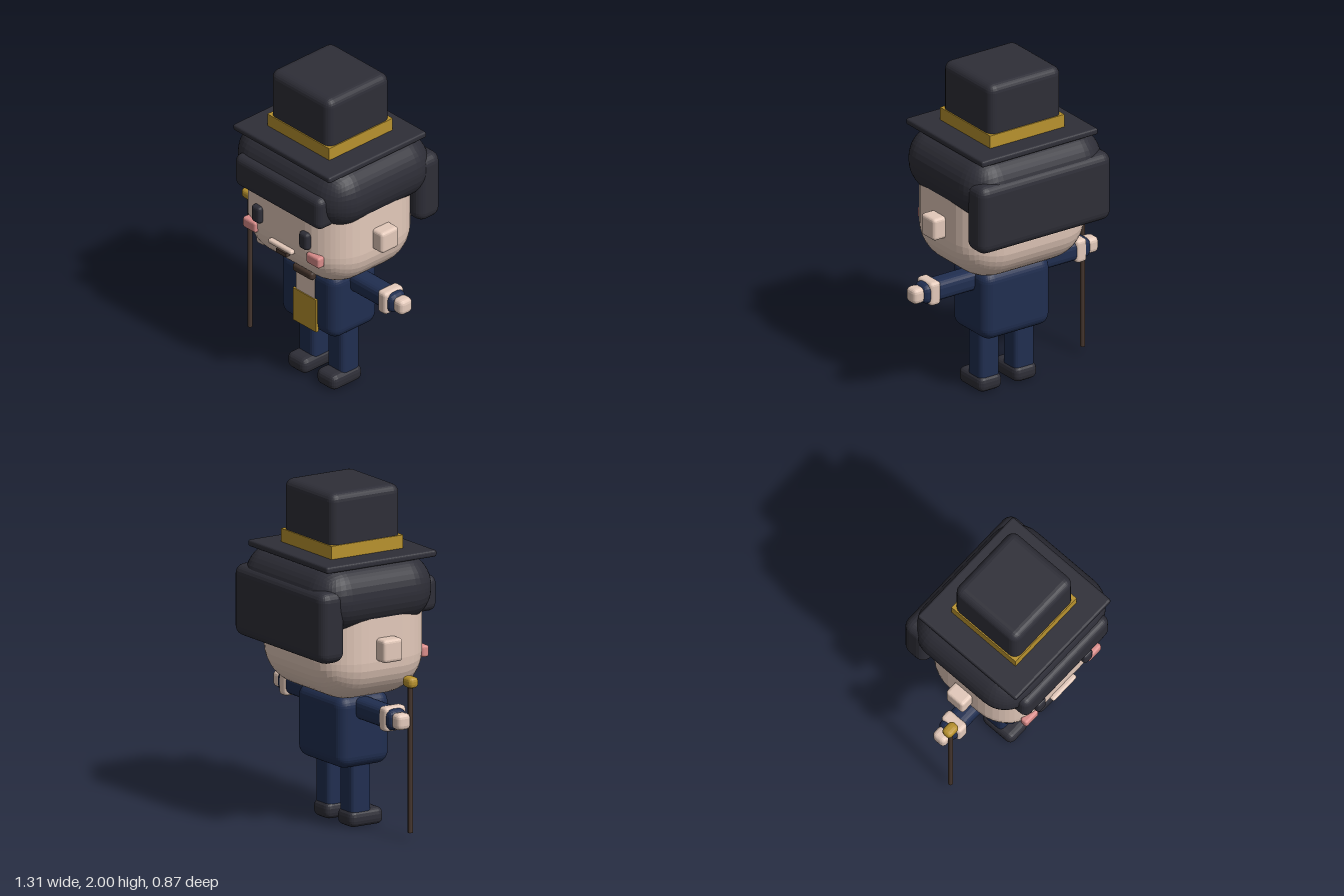
import * as THREE from 'three';
import { RoundedBoxGeometry } from 'three/addons/geometries/RoundedBoxGeometry.js';

export function createModel() {
  const model = new THREE.Group();
  model.name = 'topHatFigure';

  const mat = (name, color) => {
    const m = new THREE.MeshStandardMaterial({ color });
    m.name = name;
    return m;
  };
  const skin = mat('skin', 0xe3c9ba);
  const dark = mat('charcoal', 0x2e2e37);
  const navy = mat('navy', 0x202e50);
  const gold = mat('gold', 0xb8922e);
  const brown = mat('brown', 0x46362e);
  const pink = mat('blush', 0xd98c8a);

  // Box given by its ranges [min, max] on each axis; r rounds the edges with faceted bevels
  function block(name, material, x, y, z, r = 0, segments = 2) {
    const size = [x, y, z].map(([a, b]) => b - a);
    const geo = r > 0
      ? new RoundedBoxGeometry(...size, segments, r)
      : new THREE.BoxGeometry(...size);
    if (r > 0) geo.computeVertexNormals();
    const mesh = new THREE.Mesh(geo, material);
    mesh.name = name;
    mesh.position.set((x[0] + x[1]) / 2, (y[0] + y[1]) / 2, (z[0] + z[1]) / 2);
    model.add(mesh);
    return mesh;
  }

  // The same block on both sides of the body
  function pair(name, material, x, y, z, r, segments) {
    block('left' + name, material, x, y, z, r, segments);
    block('right' + name, material, [-x[1], -x[0]], y, z, r, segments);
  }

  // Head and face
  block('head', skin, [-0.44, 0.44], [0.78, 1.56], [-0.345, 0.385], 0.25, 5);
  pair('Ear', skin, [0.4, 0.52], [1.035, 1.17], [-0.045, 0.088], 0.02);
  pair('Eye', dark, [0.163, 0.235], [1.06, 1.17], [0.36, 0.415], 0.02);
  pair('Cheek', pink, [0.212, 0.322], [0.975, 1.045], [0.35, 0.4], 0.015);
  block('lip', skin, [-0.1, 0.1], [0.97, 1.0], [0.36, 0.41], 0.013);
  block('mouth', brown, [-0.042, 0.042], [0.93, 0.955], [0.34, 0.395]);

  // Hair
  block('hairCap', dark, [-0.477, 0.477], [1.21, 1.61], [-0.42, 0.395], 0.19, 5);
  block('fringe', dark, [-0.363, 0.363], [1.25, 1.46], [0.29, 0.433], 0.045, 3);
  block('backHair', dark, [-0.463, 0.463], [1.06, 1.485], [-0.435, -0.262], 0.06, 3);

  // Hat
  block('hatBrim', dark, [-0.407, 0.407], [1.583, 1.622], [-0.363, 0.395], 0.013);
  block('hatBand', gold, [-0.26, 0.26], [1.62, 1.7], [-0.233, 0.26]);
  block('hatCrown', dark, [-0.253, 0.253], [1.6, 2.0], [-0.226, 0.253], 0.05, 3);

  // Jacket, shirt, waistcoat panel and bow tie
  block('jacket', navy, [-0.237, 0.237], [0.36, 0.79], [-0.155, 0.2], 0.07, 4);
  block('shirtFront', skin, [-0.077, 0.077], [0.5, 0.76], [0.199, 0.207]);
  block('waistcoat', gold, [-0.098, 0.098], [0.378, 0.592], [0.195, 0.213]);
  block('bowTie', brown, [-0.083, 0.083], [0.72, 0.77], [0.19, 0.235], 0.016);

  // Arms
  pair('Arm', navy, [0.15, 0.59], [0.648, 0.772], [-0.05, 0.075], 0.042);
  pair('Cuff', skin, [0.475, 0.55], [0.638, 0.782], [-0.057, 0.09], 0.022);
  pair('Hand', skin, [0.568, 0.65], [0.662, 0.758], [-0.035, 0.058], 0.028);

  // Legs and shoes
  pair('Leg', navy, [0.053, 0.192], [0.06, 0.42], [-0.046, 0.092], 0.03);
  pair('Shoe', dark, [0.043, 0.203], [0, 0.1], [-0.06, 0.172], 0.038);

  // Cane held in the right hand
  const stick = new THREE.Mesh(new THREE.CylinderGeometry(0.015, 0.015, 0.87, 8), brown);
  stick.name = 'caneStick';
  stick.position.set(-0.608, 0.48, 0.075);
  model.add(stick);
  block('caneKnob', gold, [-0.655, -0.565], [0.9, 0.966], [0.042, 0.108], 0.025);

  return model;
}
